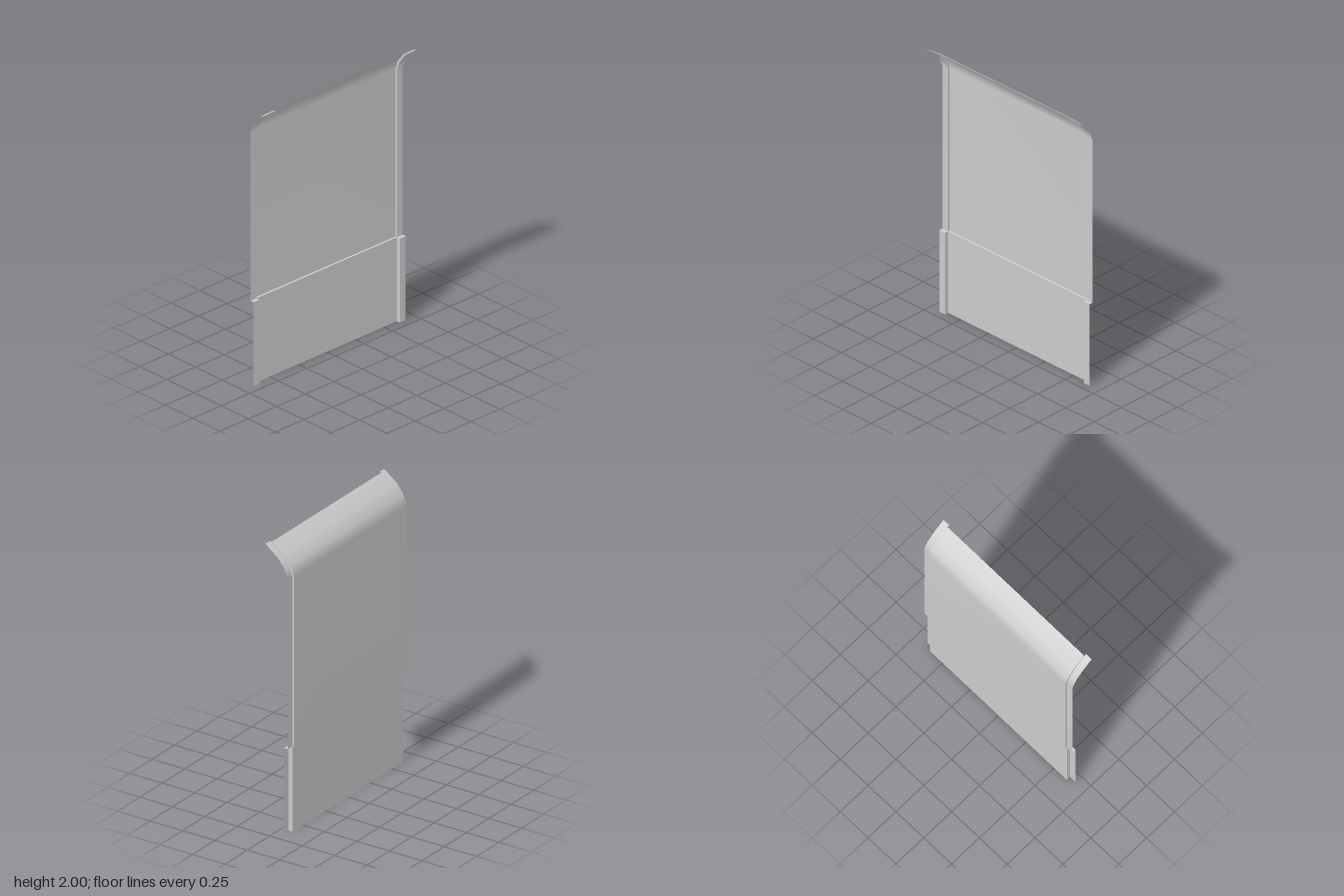
import * as THREE from 'three';

const INNER = 0.615, OUTER = 0.665;

// Side profiles as [x, y], from bottom to top
const upperPanel = [[-0.095, 0.6], [-0.095, 1.8], [-0.07, 1.867], [-0.019, 1.931], [0.075, 2]];
const upperFlange = [[-0.081, 0.6], [-0.081, 1.8], [-0.055, 1.863], [-0.004, 1.928], [0.092, 2]];
const lowerPanel = [[-0.081, 0], [-0.081, 0.6]];
const lowerFlange = [[-0.053, 0], [-0.053, 0.6]];
const panelLedge = [[-0.095, 0.6], [-0.081, 0.6]];
const flangeLedge = [[-0.081, 0.6], [-0.053, 0.6]];

export function createModel() {
  const group = new THREE.Group();
  const material = new THREE.MeshStandardMaterial({ color: 0xcccccc, side: THREE.DoubleSide });

  // Thin sheet between profile a at depth za and profile b at depth zb
  function sheet(name, a, za, b, zb) {
    const positions = [], index = [];
    a.forEach(([x, y], i) => {
      positions.push(x, y, za, b[i][0], b[i][1], zb);
      if (i > 0) {
        const k = 2 * i;
        index.push(k - 2, k - 1, k, k - 1, k + 1, k);
      }
    });
    const geometry = new THREE.BufferGeometry();
    geometry.setAttribute('position', new THREE.Float32BufferAttribute(positions, 3));
    geometry.setIndex(index);
    geometry.computeVertexNormals();
    const mesh = new THREE.Mesh(geometry, material);
    mesh.name = name;
    group.add(mesh);
  }

  // Main panels and the small step between them
  sheet('upperPanel', upperPanel, INNER, upperPanel, -INNER);
  sheet('lowerPanel', lowerPanel, INNER, lowerPanel, -INNER);
  sheet('panelLedge', panelLedge, INNER, panelLedge, -INNER);

  // Folded edges on both sides: web, flange and ledge
  for (const s of [1, -1]) {
    const side = s > 0 ? 'front' : 'back';
    const zi = s * INNER, zo = s * OUTER;
    const [near, far] = s > 0 ? [zo, zi] : [zi, zo];
    sheet(side + 'UpperWeb', upperPanel, zi, upperFlange, zi);
    sheet(side + 'LowerWeb', lowerPanel, zi, lowerFlange, zi);
    sheet(side + 'UpperFlange', upperFlange, near, upperFlange, far);
    sheet(side + 'LowerFlange', lowerFlange, near, lowerFlange, far);
    sheet(side + 'FlangeLedge', flangeLedge, near, flangeLedge, far);
  }
  return group;
}
